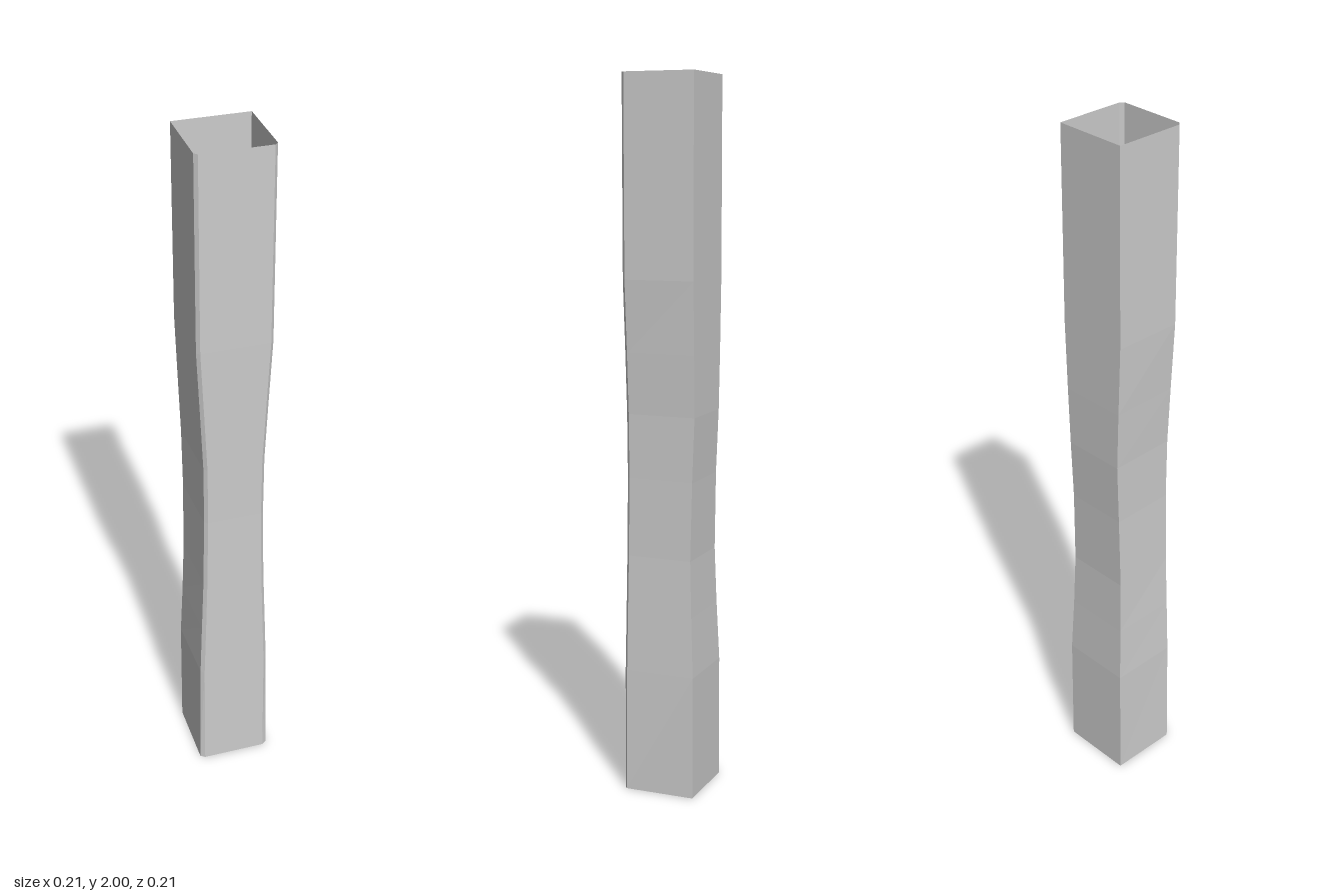
import * as THREE from 'three';

// Stations along the height: y, side half-width at back and front, front face half-width, back z, front z
const STATIONS = [
  [0, 0.106, 0.106, 0.093, -0.106, 0.104],
  [0.35, 0.105, 0.102, 0.092, -0.106, 0.103],
  [0.52, 0.099, 0.096, 0.086, -0.099, 0.102],
  [0.68, 0.095, 0.09, 0.081, -0.094, 0.101],
  [0.9, 0.092, 0.086, 0.077, -0.098, 0.1],
  [1.08, 0.093, 0.087, 0.078, -0.105, 0.101],
  [1.25, 0.099, 0.095, 0.086, -0.106, 0.102],
  [1.45, 0.106, 0.105, 0.096, -0.106, 0.104],
  [2, 0.106, 0.106, 0.097, -0.106, 0.104],
];

// Square back corners, chamfered front corners; listed anticlockwise seen from the front face round
const section = ([y, back, side, front, zBack, zFront]) => [
  [-front, y, zFront], [front, y, zFront],
  [side, y, zFront - 0.009], [back, y, zBack],
  [-back, y, zBack], [-side, y, zFront - 0.009],
];

export function createModel() {
  const group = new THREE.Group();
  group.name = 'waistedTube';

  const rings = STATIONS.map(section);
  const positions = [];
  for (let i = 0; i < rings.length - 1; i++) {
    for (let j = 0; j < 6; j++) {
      const k = (j + 1) % 6;
      const a = rings[i][j], b = rings[i][k], c = rings[i + 1][k], d = rings[i + 1][j];
      positions.push(...a, ...b, ...c, ...a, ...c, ...d);
    }
  }
  const geometry = new THREE.BufferGeometry();
  geometry.setAttribute('position', new THREE.Float32BufferAttribute(positions, 3));
  geometry.computeVertexNormals();

  // Thin sleeve, open at both ends
  const sleeve = new THREE.Mesh(geometry, new THREE.MeshStandardMaterial({
    color: 0xcccccc, flatShading: true, side: THREE.DoubleSide,
  }));
  sleeve.name = 'sleeve';
  group.add(sleeve);
  return group;
}
